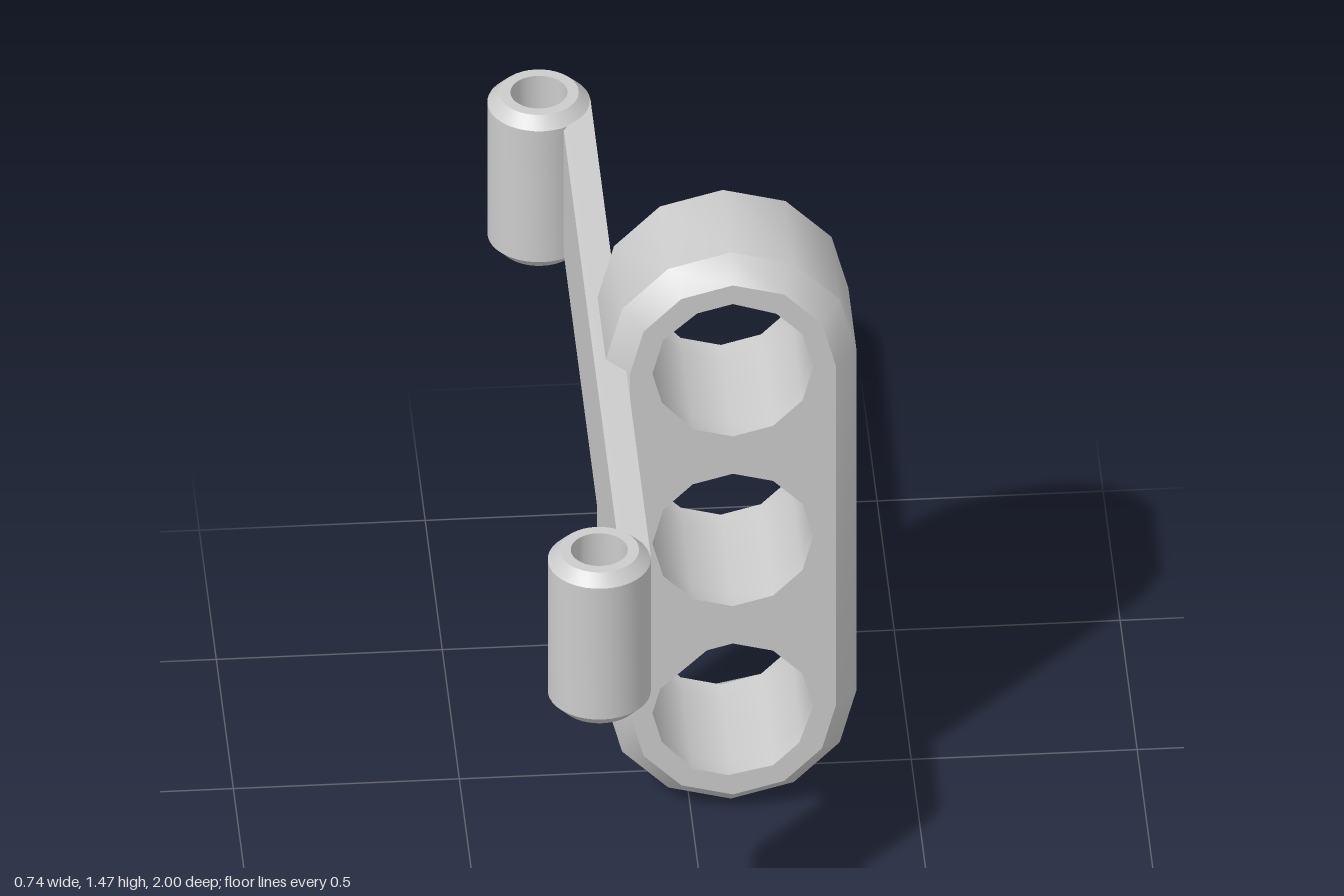
import * as THREE from 'three';
import { toCreasedNormals } from 'three/addons/utils/BufferGeometryUtils.js';
import { ConvexGeometry } from 'three/addons/geometries/ConvexGeometry.js';

const CX = 0.092, LOW = 0.283, HIGH = 1.196; // spine of the body
const R = 0.278, R_FACE = 0.228, R_HOLE = 0.178;

// Points of a twelve-sided circle, from step a to step b
function arc(r, cy, a, b) {
  const pts = [];
  for (let i = a; i <= b; i++) {
    const t = (i * Math.PI) / 6;
    pts.push(new THREE.Vector2(CX + r * Math.cos(t), cy + r * Math.sin(t)));
  }
  return pts;
}

// Stadium-shaped block with three holes and a chamfered outer rim
function bodyGeometry() {
  const shape = new THREE.Shape([...arc(R, HIGH, 0, 6), ...arc(R, LOW, 6, 12)]);
  for (const y of [LOW, (LOW + HIGH) / 2, HIGH]) {
    shape.holes.push(new THREE.Path(arc(R_HOLE, y, 0, 11)));
  }
  const geo = new THREE.ExtrudeGeometry(shape, { depth: 3, steps: 3, bevelEnabled: false });
  const layers = [-0.177, -0.121, 0.121, 0.177];
  const pos = geo.attributes.position;
  for (let i = 0; i < pos.count; i++) {
    const layer = Math.round(pos.getZ(i));
    const x = pos.getX(i), y = pos.getY(i);
    const sy = THREE.MathUtils.clamp(y, LOW, HIGH);
    // pull the outer outline in on the two faces
    if ((layer === 0 || layer === 3) && Math.hypot(x - CX, y - sy) > 0.2) {
      const k = R_FACE / R;
      pos.setXY(i, CX + (x - CX) * k, sy + (y - sy) * k);
    }
    pos.setZ(i, layers[layer]);
  }
  return toCreasedNormals(geo, 0.6);
}

// Flat bar with slightly chamfered outer edges, ending inside the barrel walls
function armGeometry() {
  const pts = [];
  for (const s of [-1, 1]) {
    for (const [x, inset, z] of [[-0.143, 0, 0.885], [-0.2, 0, 0.81], [-0.21, 0.01, 0.8]]) {
      pts.push(new THREE.Vector3(x, 0.85 + inset, s * z), new THREE.Vector3(x, 1.2 - inset, s * z));
    }
  }
  return new ConvexGeometry(pts);
}

// Hollow tube with chamfered ends
function barrelGeometry() {
  const profile = [
    [0.063, 0.818], [0.088, 0.818], [0.114, 0.846], [0.114, 1.198],
    [0.088, 1.224], [0.063, 1.224], [0.063, 0.818],
  ].map(([x, y]) => new THREE.Vector2(x, y));
  return toCreasedNormals(new THREE.LatheGeometry(profile, 36), 0.6);
}

export function createModel() {
  const group = new THREE.Group();
  const material = new THREE.MeshStandardMaterial({ color: 0xcccccc });
  const add = (name, geo) => {
    const mesh = new THREE.Mesh(geo, material);
    mesh.name = name;
    group.add(mesh);
    return mesh;
  };

  add('body', bodyGeometry());
  add('arm', armGeometry());
  const barrel = barrelGeometry();
  add('frontBarrel', barrel).position.set(-0.257, 0, 0.885);
  add('backBarrel', barrel).position.set(-0.257, 0, -0.885);
  return group;
}
